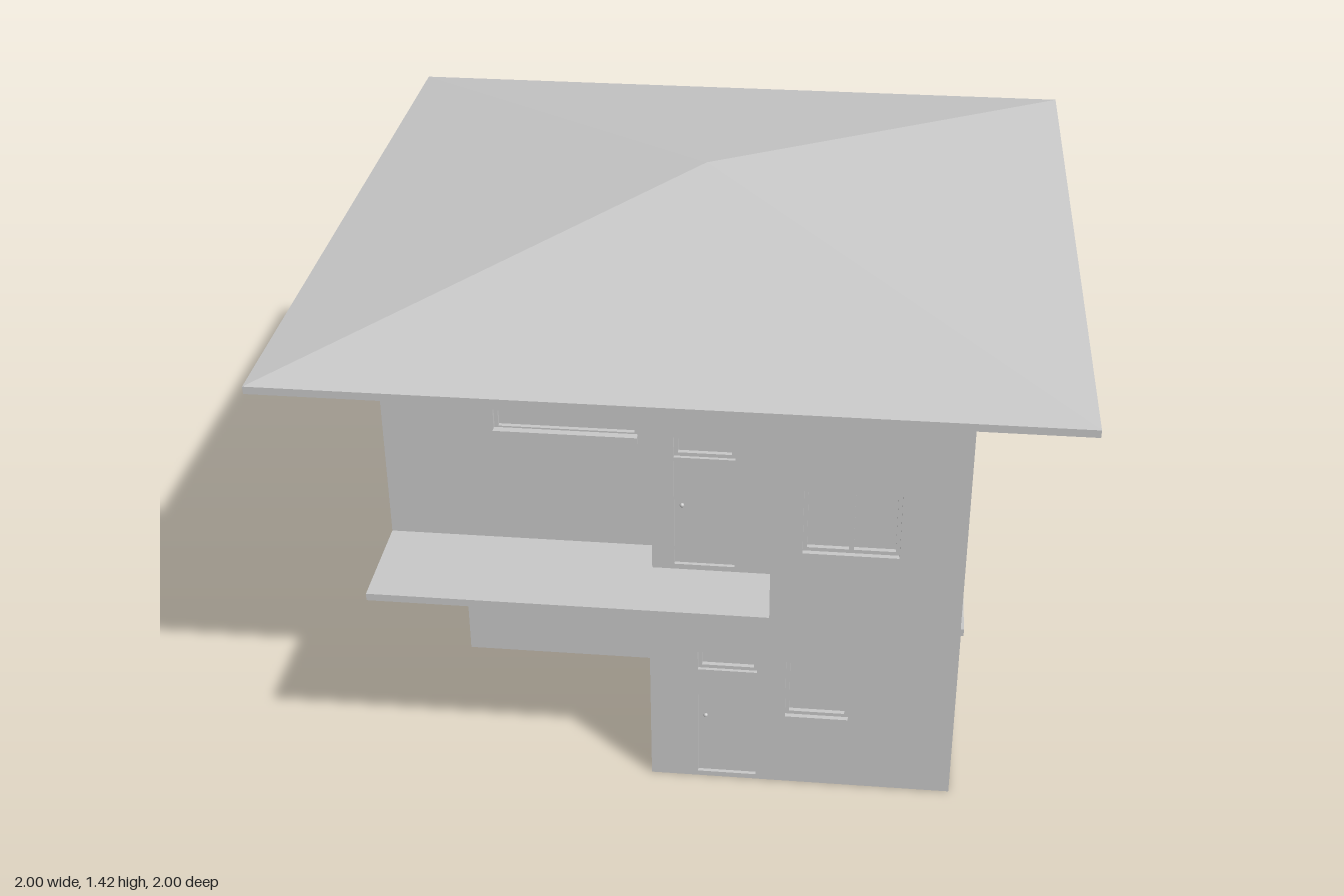
import * as THREE from 'three';

const wallGrey = new THREE.MeshStandardMaterial({ color: 0xc8c8c8, side: THREE.DoubleSide });
wallGrey.name = 'plainGrey';

const DEPTH = 0.03; // thickness of the wall panels

function add(parent, geometry, name, x = 0, y = 0, z = 0) {
  const mesh = new THREE.Mesh(geometry, wallGrey);
  mesh.name = name;
  mesh.position.set(x, y, z);
  parent.add(mesh);
  return mesh;
}

function addBox(parent, name, w, h, d, x, y, z) {
  return add(parent, new THREE.BoxGeometry(w, h, d), name, x, y, z);
}

function rectangle(x0, y0, x1, y1, Kind = THREE.Shape) {
  const r = new Kind();
  r.moveTo(x0, y0).lineTo(x1, y0).lineTo(x1, y1).lineTo(x0, y1).closePath();
  return r;
}

function extrude(shape, depth) {
  return new THREE.ExtrudeGeometry(shape, { depth, bevelEnabled: false });
}

// Flat slab from an [x, z] outline
function addSlab(parent, name, outline, y0, y1) {
  const shape = new THREE.Shape(outline.map(([x, z]) => new THREE.Vector2(x, -z)));
  add(parent, extrude(shape, y1 - y0).rotateX(-Math.PI / 2), name, 0, y0, 0);
}

// Recessed window; a wide one gets a mullion
function addWindow(parent, u, o) {
  const h = o.y1 - o.y0, mid = (o.y0 + o.y1) / 2, bar = 0.01;
  const frame = rectangle(u - o.w / 2, o.y0, u + o.w / 2, o.y1);
  frame.holes.push(rectangle(u - o.w / 2 + bar, o.y0 + bar, u + o.w / 2 - bar, o.y1 - bar, THREE.Path));
  add(parent, extrude(frame, 0.012), 'windowFrame', 0, 0, -0.025);
  addBox(parent, 'windowPane', o.w, h, 0.006, u, mid, -DEPTH);
  if (o.w > 0.2 && h > 0.1) addBox(parent, 'mullion', 0.012, h, 0.012, u, mid, -0.019);
}

// Recessed door with a glazed transom and a knob
function addDoor(parent, u, o) {
  const leafTop = o.y1 - 0.065;
  addBox(parent, 'doorLeaf', o.w, leafTop - o.y0, 0.02, u, (leafTop + o.y0) / 2, -0.02);
  addBox(parent, 'transomRail', o.w, 0.01, 0.024, u, leafTop, -0.016);
  addWindow(parent, u, { w: o.w, y0: leafTop + 0.005, y1: o.y1 });
  add(parent, new THREE.SphereGeometry(0.006, 10, 8), 'doorKnob', u - o.w / 2 + 0.02, (leafTop + o.y0) / 2 + 0.02, -0.006);
}

// One panel per outline edge, with holes for its openings
function addWalls(parent, outline, y0, y1, openings) {
  outline.forEach(([ax, az], i) => {
    const [bx, bz] = outline[(i + 1) % outline.length];
    const length = Math.hypot(ax - bx, az - bz);
    const wall = new THREE.Group();
    wall.name = 'wall';
    wall.position.set(bx, 0, bz);
    wall.rotation.y = Math.atan2(bz - az, ax - bx);
    parent.add(wall);
    const panel = rectangle(0, y0, length, y1);
    const alongX = Math.abs(ax - bx) > Math.abs(az - bz);
    openings.filter((o) => o.edge === i).forEach((o) => {
      const u = Math.abs(o.at - (alongX ? bx : bz));
      panel.holes.push(rectangle(u - o.w / 2, o.y0, u + o.w / 2, o.y1, THREE.Path));
      (o.door ? addDoor : addWindow)(wall, u, o);
    });
    add(wall, extrude(panel, DEPTH), 'wallPanel', 0, 0, -DEPTH);
  });
}

export function createModel() {
  const house = new THREE.Group();
  house.name = 'house';

  // Ground floor
  const ground = new THREE.Group();
  ground.name = 'groundFloor';
  house.add(ground);
  const lower = [[0.73, 0.84], [-0.065, 0.84], [-0.065, 0.35], [-0.66, 0.35],
    [-0.66, -0.67], [0.05, -0.67], [0.05, -0.965], [0.73, -0.965]];
  addSlab(ground, 'groundSlab', lower, 0, 0.012);
  addWalls(ground, lower, 0, 0.6, [
    { edge: 0, at: 0.1375, w: 0.155, y0: 0.015, y1: 0.415, door: true },
    { edge: 0, at: 0.372, w: 0.165, y0: 0.22, y1: 0.4 },
    { edge: 3, at: 0, w: 0.165, y0: 0.22, y1: 0.4 },
    { edge: 4, at: -0.18, w: 0.165, y0: 0.22, y1: 0.4 },
  ]);

  // Upper floor with its balcony slab
  const upper = new THREE.Group();
  upper.name = 'upperFloor';
  house.add(upper);
  const back = [[-0.77, -0.78], [-0.06, -0.78], [-0.06, -0.965], [0.73, -0.965]];
  const front = [[0.25, 0.95], [0.25, 0.764], [-0.065, 0.764], [-0.065, 0.666], [-0.77, 0.666]];
  addSlab(upper, 'balconySlab', [[0.73, 0.95], [-0.77, 0.95], ...back], 0.6, 0.62);
  addSlab(upper, 'ceilingSlab', [[0.73, 0.95], ...front, ...back], 1.205, 1.22);
  const side = { edge: 5, w: 0.16, y0: 0.82, y1: 1.0 };
  addWalls(upper, [[0.722, 0.95], ...front, ...back, [0.73, 0.26], [0.722, 0.26]], 0.62, 1.205, [
    { edge: 0, at: 0.445, w: 0.235, y0: 0.82, y1: 1.0 },
    { edge: 2, at: 0.07, w: 0.155, y0: 0.635, y1: 1.015, door: true },
    { edge: 4, at: -0.295, w: 0.37, y0: 0.945, y1: 1.01 },
    { ...side, at: -0.39 }, { ...side, at: 0.015 }, { ...side, at: 0.535 },
    { edge: 6, at: -0.285, w: 0.24, y0: 0.83, y1: 1.01 },
  ]);
  addBox(upper, 'windowSill', 0.37, 0.02, 0.02, -0.295, 0.945, 0.67);

  // Thin hollow hipped roof
  const r = Math.SQRT2;
  const profile = [[0, 1.4], [r, 1.22], [r, 1.24], [0, 1.42]].map(([x, y]) => new THREE.Vector2(x, y));
  const roof = new THREE.LatheGeometry(profile, 4, Math.PI / 4).toNonIndexed();
  roof.computeVertexNormals();
  add(house, roof, 'roof');

  return house;
}
